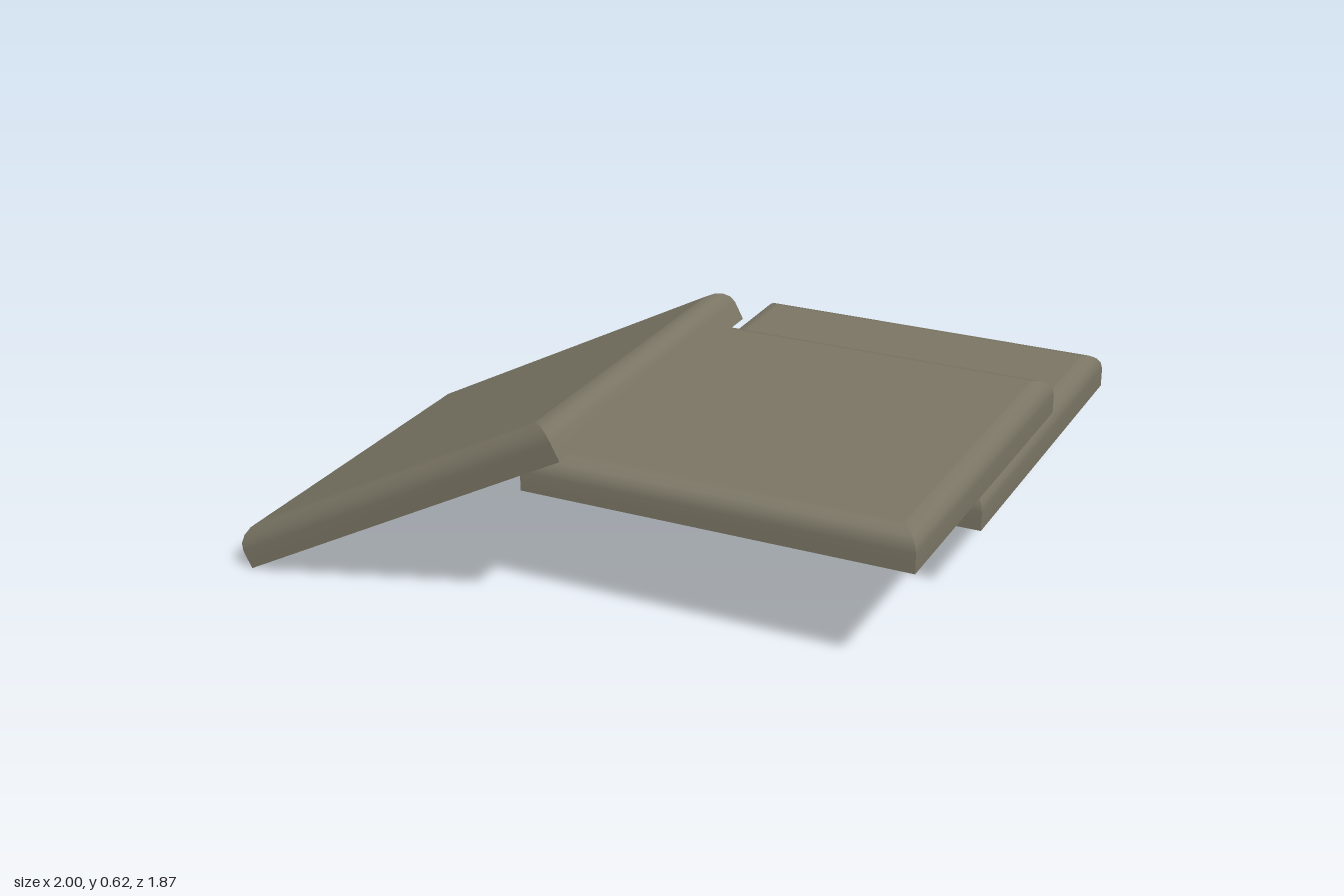
import * as THREE from 'three';
import { mergeGeometries } from 'three/addons/utils/BufferGeometryUtils.js';

const SIZE = 1.162, HEIGHT = 0.113, ROUND = 0.056, STEPS = 4;

// One edge of the slab: a vertical wall that rolls over into the top, mitred at both ends
function edgeGeometry() {
  const half = SIZE / 2;
  const profile = [[0, 0]];
  for (let i = 0; i <= STEPS; i++) {
    const a = (i / STEPS) * Math.PI / 2;
    profile.push([ROUND * (1 - Math.cos(a)), HEIGHT - ROUND + ROUND * Math.sin(a)]);
  }
  const positions = [], index = [];
  profile.forEach(([inset, y], i) => {
    const e = half - inset;
    positions.push(-e, y, e, e, y, e);
    if (i > 0) {
      const a = 2 * (i - 1);
      index.push(a, a + 1, a + 3, a, a + 3, a + 2);
    }
  });
  const geometry = new THREE.BufferGeometry();
  geometry.setAttribute('position', new THREE.Float32BufferAttribute(positions, 3));
  geometry.setIndex(index);
  geometry.computeVertexNormals();
  return geometry;
}

// Square slab with a flat underside and rounded upper edges, standing on y = 0
function slabGeometry() {
  const parts = [];
  for (let i = 0; i < 4; i++) parts.push(edgeGeometry().rotateY(i * Math.PI / 2));
  const inner = SIZE - 2 * ROUND;
  parts.push(new THREE.PlaneGeometry(inner, inner).rotateX(-Math.PI / 2).translate(0, HEIGHT, 0));
  parts.push(new THREE.PlaneGeometry(SIZE, SIZE).rotateX(Math.PI / 2));
  parts.forEach((p) => p.deleteAttribute('uv'));
  return mergeGeometries(parts);
}

export function createModel() {
  const group = new THREE.Group();
  group.name = 'stoneSlabs';
  const stone = new THREE.MeshStandardMaterial({ color: 0x7a7564 });
  stone.name = 'grey brown stone';
  const geometry = slabGeometry();

  // name, centre of the underside, tilt about z
  const slabs = [
    ['lowerSlab', [0.418, 0.226, -0.355], 0],
    ['upperSlab', [0.418, 0.338, 0.174], 0],
    ['leaningSlab', [-0.45, 0.273, 0.355], Math.atan2(0.542, 1.028)],
  ];
  for (const [name, position, tilt] of slabs) {
    const slab = new THREE.Mesh(geometry, stone);
    slab.name = name;
    slab.position.set(...position);
    slab.rotation.z = tilt;
    group.add(slab);
  }
  return group;
}
